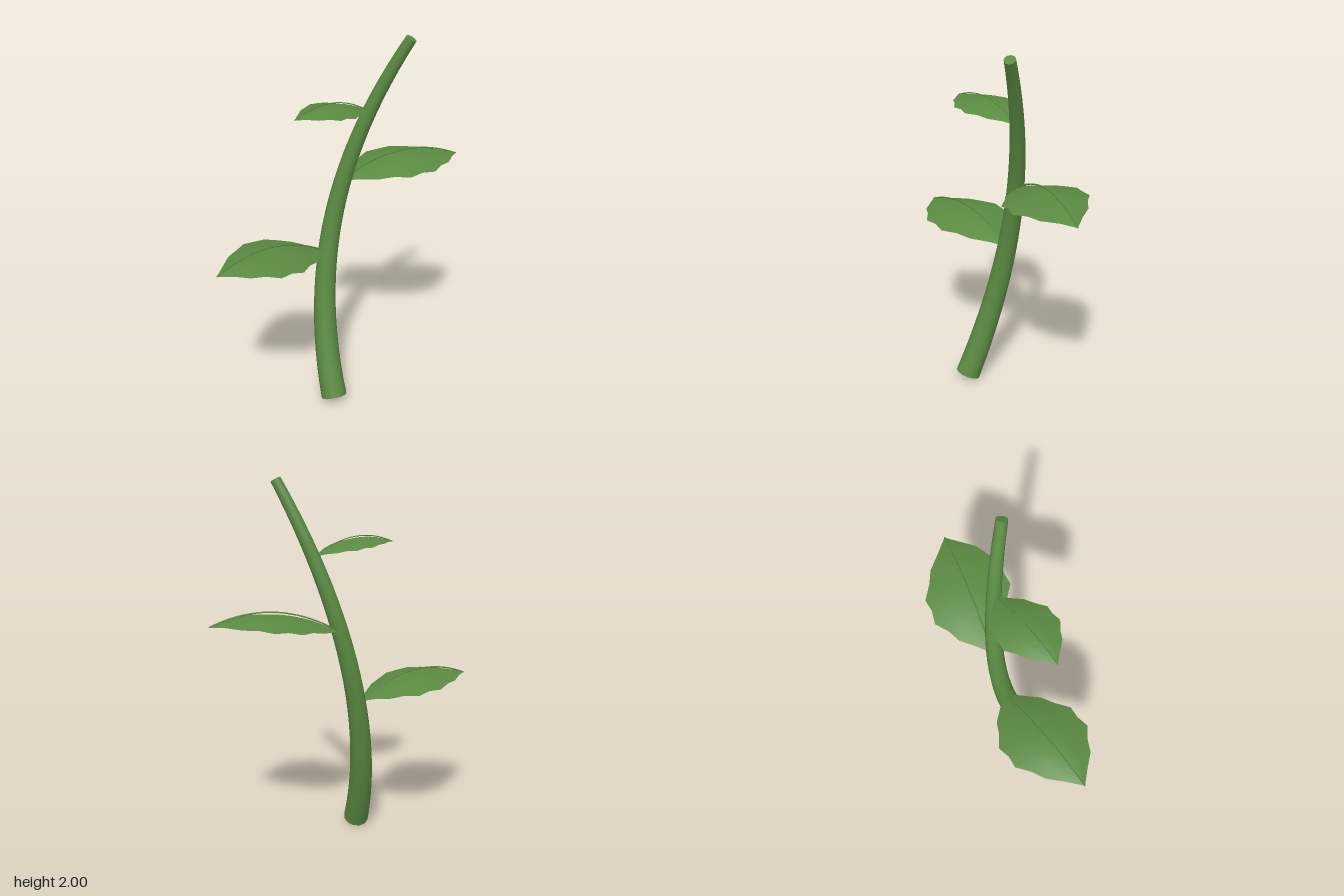
import * as THREE from 'three';

const LEAF = { length: 0.68, sweep: 0.1, rise: 0.065, arch: 0.084, width: 0.222, droop: 0.22 };

// Point on a leaf's midline, t = 0 at the stem and 1 at the tip
function midline(t, dir, lift = 0) {
  return new THREE.Vector3(
    dir * LEAF.length * t,
    LEAF.rise * t + 4 * (LEAF.arch + lift) * t * (1 - t),
    LEAF.sweep * t
  );
}

// Tapered stem swept along a bent path, closed at both ends
function makeStem(material) {
  const path = new THREE.QuadraticBezierCurve3(
    new THREE.Vector3(-0.122, 0.027, 0.168),
    new THREE.Vector3(-0.1, 1.0, -0.268),
    new THREE.Vector3(0.325, 1.985, 0.165)
  );
  const rows = 24, sides = 12, r0 = 0.07, r1 = 0.029;
  const tube = new THREE.TubeGeometry(path, rows, 1, sides, false);
  const pos = tube.attributes.position;
  const v = new THREE.Vector3();
  for (let i = 0; i < pos.count; i++) {
    const t = Math.floor(i / (sides + 1)) / rows;
    const c = path.getPointAt(t);
    v.fromBufferAttribute(pos, i).sub(c).multiplyScalar(r0 + (r1 - r0) * t).add(c);
    pos.setXYZ(i, v.x, v.y, v.z);
  }
  const group = new THREE.Group();
  group.name = 'stem';
  const body = new THREE.Mesh(tube, material);
  body.name = 'stemBody';
  group.add(body);
  for (const [t, r, sign, name] of [[0, r0, -1, 'stemBase'], [1, r1, 1, 'stemTip']]) {
    const cap = new THREE.Mesh(new THREE.CircleGeometry(r, sides), material);
    const c = path.getPointAt(t);
    cap.position.copy(c);
    cap.lookAt(c.clone().addScaledVector(path.getTangentAt(t), sign));
    cap.name = name;
    group.add(cap);
  }
  return group;
}

// Arched, toothed leaf with a thin vein along the ridge
function makeLeaf(name, dir, scale, base, material) {
  const rows = 10;
  const blade = new THREE.PlaneGeometry(1, 2, rows, 4).rotateX(-Math.PI / 2);
  const pos = blade.attributes.position;
  for (let i = 0; i < pos.count; i++) {
    const t = 0.5 + dir * pos.getX(i);
    const tooth = Math.round(t * rows) % 2 === 0 ? 1.07 : 0.97;
    const w = pos.getZ(i) * LEAF.width * Math.sin(Math.PI * t) * tooth;
    const p = midline(t, dir);
    pos.setXYZ(i, p.x, p.y - LEAF.droop * Math.abs(w), p.z + w);
  }
  blade.computeVertexNormals();

  const points = [];
  for (let i = 0; i <= rows; i++) points.push(midline(i / rows, dir, 0.011));
  const vein = new THREE.TubeGeometry(new THREE.CatmullRomCurve3(points), 20, 0.004, 5);

  const group = new THREE.Group();
  group.name = name;
  const bladeMesh = new THREE.Mesh(blade, material);
  bladeMesh.name = 'leafBlade';
  const veinMesh = new THREE.Mesh(vein, material);
  veinMesh.name = 'leafVein';
  group.add(bladeMesh, veinMesh);
  group.scale.setScalar(scale);
  group.position.set(...base);
  return group;
}

export function createModel() {
  const green = new THREE.MeshStandardMaterial({ color: 0x5a8a42, side: THREE.DoubleSide });
  green.name = 'leafGreen';
  const model = new THREE.Group();
  model.name = 'plant';
  model.add(
    makeStem(green),
    makeLeaf('lowerLeaf', -1, 1, [-0.05, 0.815, -0.055], green),
    makeLeaf('middleLeaf', 1, 1, [0.05, 1.205, -0.055], green),
    makeLeaf('upperLeaf', -1, 0.684, [0.165, 1.6, 0.028], green)
  );
  return model;
}
